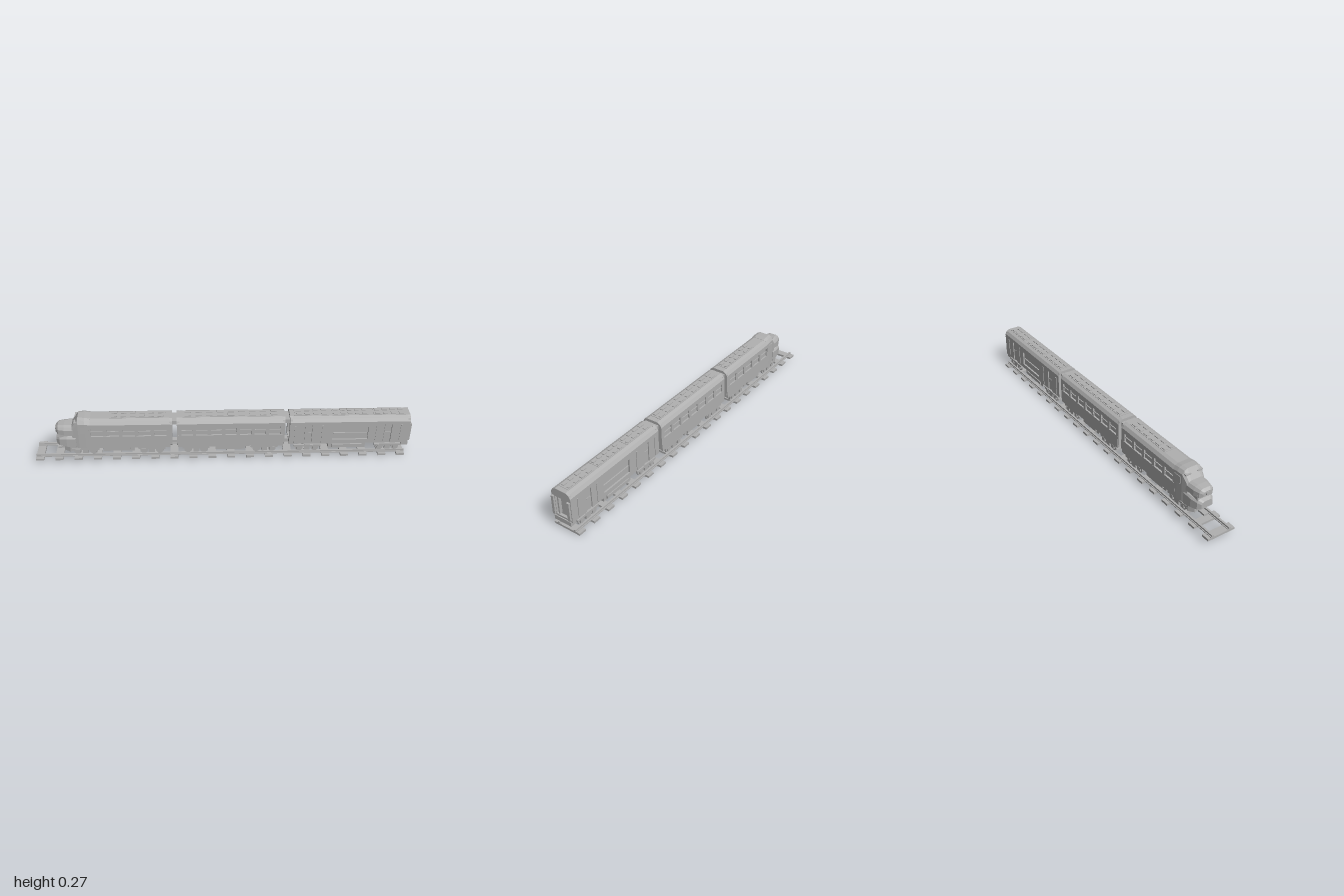
import * as THREE from 'three';

const grey = new THREE.MeshStandardMaterial({ color: 0xb0b0b0, flatShading: true });
grey.name = 'plain grey';

function add(parent, name, geo, x = 0, y = 0, z = 0) {
  const m = new THREE.Mesh(geo, grey);
  m.name = name;
  m.position.set(x, y, z);
  parent.add(m);
  return m;
}

// box given by its limits
function span(parent, name, x0, x1, y0, y1, z0, z1) {
  return add(parent, name, new THREE.BoxGeometry(x1 - x0, y1 - y0, z1 - z0),
    (x0 + x1) / 2, (y0 + y1) / 2, (z0 + z1) / 2);
}

// the same box on both sides of the train
function pair(parent, name, x0, x1, y0, y1, z0, z1) {
  span(parent, name, x0, x1, y0, y1, z0, z1);
  span(parent, name, x0, x1, y0, y1, -z1, -z0);
}

// skin through sections [x, half width, bottom, top, corner], ordered by x
function loft(sections) {
  const pos = [], idx = [], n = 8;
  for (const [x, w, y0, y1, c] of sections) {
    const half = [[w, y0], [w, y1 - c], [w - c * 0.45, y1 - c * 0.3], [w - c * 1.1, y1]];
    for (const [z, y] of half) pos.push(x, y, z);
    for (const [z, y] of half.reverse()) pos.push(x, y, -z);
  }
  for (let i = 0; i < sections.length - 1; i++) {
    for (let j = 0; j < n; j++) {
      const a = i * n + j, b = i * n + (j + 1) % n;
      idx.push(a, a + n, b, b, a + n, b + n);
    }
  }
  const e = (sections.length - 1) * n;
  for (let k = 1; k < n - 1; k++) idx.push(0, k, k + 1, e, e + k + 1, e + k);
  const g = new THREE.BufferGeometry();
  g.setAttribute('position', new THREE.Float32BufferAttribute(pos, 3));
  g.setIndex(idx);
  const flat = g.toNonIndexed();
  flat.computeVertexNormals();
  return flat;
}

// end wall with a doorway
function endFrame(parent, x, depth) {
  const s = new THREE.Shape([[-0.053, 0.088], [0.053, 0.088], [0.058, 0.1], [0.058, 0.222], [0.05, 0.24],
    [0.032, 0.25], [-0.032, 0.25], [-0.05, 0.24], [-0.058, 0.222], [-0.058, 0.1]]
    .map(p => new THREE.Vector2(...p)));
  s.holes.push(new THREE.Path([[-0.038, 0.1], [-0.038, 0.2], [-0.03, 0.208], [0.03, 0.208], [0.038, 0.2], [0.038, 0.1]]
    .map(p => new THREE.Vector2(...p))));
  const m = add(parent, 'endFrame', new THREE.ExtrudeGeometry(s, { depth, bevelEnabled: false }), x);
  m.rotation.y = Math.PI / 2;
}

// four wheels, axles and side frames
function bogie(parent, x) {
  const g = new THREE.Group();
  g.name = 'bogie';
  g.position.x = x;
  parent.add(g);
  for (const dx of [-0.042, 0.042]) {
    for (const z of [-0.044, 0.044]) {
      add(g, 'wheel', new THREE.CylinderGeometry(0.021, 0.021, 0.01, 14), dx, 0.057, z).rotation.x = Math.PI / 2;
      span(g, 'axleBox', dx - 0.012, dx + 0.012, 0.05, 0.072, z > 0 ? 0.049 : -0.057, z > 0 ? 0.057 : -0.049);
    }
    add(g, 'axle', new THREE.CylinderGeometry(0.005, 0.005, 0.09, 8), dx, 0.057, 0).rotation.x = Math.PI / 2;
  }
  pair(g, 'sideFrame', -0.072, 0.072, 0.066, 0.078, 0.046, 0.056);
  pair(g, 'springPack', -0.015, 0.015, 0.046, 0.08, 0.046, 0.056);
  span(g, 'bolster', -0.025, 0.025, 0.06, 0.09, -0.046, 0.046);
}

function underTank(parent, x0, x1) {
  span(parent, 'underTank', x0, x1, 0.05, 0.09, -0.045, 0.045);
  pair(parent, 'tankStep', x0 + 0.02, x1 - 0.02, 0.058, 0.076, 0.045, 0.053);
}

function roofVents(parent, x0, x1, count) {
  const step = (x1 - x0) / count;
  span(parent, 'roofWalk', x0, x1, 0.248, 0.252, -0.03, 0.03);
  for (let i = 0; i < count; i++) {
    const x = x0 + step * (i + 0.5);
    pair(parent, 'roofVent', x - step * 0.3, x + step * 0.3, 0.25, 0.256, 0.008, 0.024);
  }
}

// body with a recessed window band above solid side panels
function bandedBody(parent, x0, x1, bays) {
  span(parent, 'innerBody', x0 + 0.014, x1 - 0.014, 0.082, 0.225, -0.05, 0.05);
  add(parent, 'roof', loft([[x0, 0.058, 0.202, 0.25, 0.025], [x1, 0.058, 0.202, 0.25, 0.025]]));
  pair(parent, 'sidePanel', x0, x1, 0.08, 0.153, 0.046, 0.059);
  pair(parent, 'windowRail', x0 + 0.01, x1 - 0.01, 0.177, 0.182, 0.046, 0.055);
  const step = (x1 - x0 - 0.02) / bays;
  for (let i = 0; i <= bays; i++) {
    const x = x0 + 0.01 + i * step;
    pair(parent, 'windowPost', x - 0.009, x + 0.009, 0.15, 0.205, 0.046, 0.058);
  }
}

function locomotive() {
  const g = new THREE.Group();
  g.name = 'locomotive';
  bandedBody(g, -0.72, -0.285, 5);
  endFrame(g, -0.289, 0.014);
  // cab with a raked windscreen
  add(g, 'cab', loft([[-0.8, 0.05, 0.08, 0.207, 0.02], [-0.765, 0.056, 0.08, 0.257, 0.026],
    [-0.73, 0.058, 0.08, 0.256, 0.025], [-0.7, 0.058, 0.08, 0.251, 0.025]]));
  // bulldog nose in two tiers over a pilot
  add(g, 'upperNose', loft([[-0.885, 0.026, 0.168, 0.194, 0.012], [-0.872, 0.04, 0.16, 0.205, 0.018],
    [-0.84, 0.048, 0.158, 0.209, 0.022], [-0.79, 0.052, 0.158, 0.209, 0.02]]));
  span(g, 'noseCore', -0.865, -0.78, 0.1, 0.17, -0.042, 0.042);
  add(g, 'lowerNose', loft([[-0.885, 0.032, 0.1, 0.138, 0.014], [-0.868, 0.046, 0.094, 0.147, 0.016],
    [-0.83, 0.054, 0.088, 0.15, 0.016], [-0.78, 0.056, 0.08, 0.15, 0.012]]));
  add(g, 'pilot', loft([[-0.845, 0.038, 0.058, 0.098, 0.01], [-0.815, 0.054, 0.054, 0.1, 0.01],
    [-0.78, 0.054, 0.07, 0.1, 0.01]]));
  span(g, 'frontCoupler', -0.885, -0.82, 0.05, 0.06, -0.012, 0.012);
  add(g, 'headlamp', new THREE.CylinderGeometry(0.011, 0.011, 0.012, 12), -0.884, 0.18, 0).rotation.z = Math.PI / 2;
  pair(g, 'cabWindowFrame', -0.755, -0.71, 0.175, 0.215, 0.056, 0.06);
  pair(g, 'windscreenBrow', -0.785, -0.755, 0.232, 0.238, 0.02, 0.05);
  roofVents(g, -0.6, -0.31, 6);
  bogie(g, -0.735);
  underTank(g, -0.64, -0.48);
  bogie(g, -0.385);
  return g;
}

function middleCar() {
  const g = new THREE.Group();
  g.name = 'middleCar';
  bandedBody(g, -0.245, 0.315, 7);
  endFrame(g, -0.25, 0.014);
  endFrame(g, 0.306, 0.014);
  roofVents(g, -0.22, 0.29, 9);
  bogie(g, -0.15);
  underTank(g, -0.045, 0.11);
  bogie(g, 0.215);
  return g;
}

function rearCar() {
  const g = new THREE.Group();
  g.name = 'rearCar';
  const x0 = 0.345, x1 = 0.985;
  span(g, 'innerBody', x0 + 0.014, x1 - 0.02, 0.088, 0.225, -0.049, 0.049);
  add(g, 'roof', loft([[x0, 0.058, 0.205, 0.25, 0.025], [x1, 0.058, 0.205, 0.25, 0.025]]));
  endFrame(g, x0, 0.014);
  endFrame(g, x1 - 0.014, 0.014);
  // side walls either side of a wide central recess
  for (const [a, b] of [[x0, 0.425], [0.465, 0.575], [0.765, 0.85], [0.89, x1]]) {
    pair(g, 'sideWall', a, b, 0.088, 0.21, 0.045, 0.058);
  }
  for (const x of [0.445, 0.87]) {
    pair(g, 'door', x - 0.018, x + 0.018, 0.09, 0.205, 0.045, 0.054);
    pair(g, 'doorWindowSill', x - 0.014, x + 0.014, 0.155, 0.16, 0.05, 0.057);
  }
  for (const x of [0.375, 0.52, 0.81, 0.94]) {
    pair(g, 'sideRib', x - 0.004, x + 0.004, 0.095, 0.205, 0.057, 0.061);
  }
  pair(g, 'lowerSill', 0.57, 0.77, 0.088, 0.112, 0.045, 0.058);
  pair(g, 'recessRail', 0.58, 0.76, 0.148, 0.154, 0.045, 0.055);
  pair(g, 'recessHeader', 0.57, 0.77, 0.192, 0.21, 0.045, 0.058);
  // rear end pillars beside the door
  pair(g, 'endPillar', x1 - 0.004, x1 + 0.01, 0.1, 0.205, 0.04, 0.054);
  pair(g, 'doorJamb', x1 - 0.02, x1 - 0.004, 0.1, 0.2, 0.022, 0.03);
  span(g, 'endBeam', x1 - 0.03, x1 + 0.005, 0.066, 0.09, -0.05, 0.05);
  roofVents(g, 0.37, 0.55, 4);
  roofVents(g, 0.57, 0.76, 5);
  roofVents(g, 0.79, 0.96, 4);
  bogie(g, 0.445);
  underTank(g, 0.56, 0.76);
  bogie(g, 0.88);
  return g;
}

function track() {
  const g = new THREE.Group();
  g.name = 'track';
  for (let i = 0; i < 20; i++) {
    const x = -0.978 + i * 0.1016;
    span(g, 'sleeper', x - 0.021, x + 0.021, 0.0145, 0.026, -0.078, 0.078);
  }
  pair(g, 'railFoot', -0.999, 0.975, 0.025, 0.029, 0.04, 0.06);
  pair(g, 'railHead', -0.999, 0.975, 0.029, 0.037, 0.045, 0.055);
  return g;
}

export function createModel() {
  const model = new THREE.Group();
  model.name = 'trainOnTrack';
  const sloped = new THREE.Group();
  sloped.name = 'slopedTrain';
  sloped.rotation.z = -0.0147;
  model.add(sloped);
  const train = new THREE.Group();
  train.name = 'train';
  train.position.z = 0.003;
  train.add(locomotive(), middleCar(), rearCar());
  // links between the cars
  for (const x of [-0.2625, 0.3325]) {
    span(train, 'upperLink', x - 0.02, x + 0.02, 0.212, 0.235, -0.04, 0.04);
    span(train, 'coupler', x - 0.03, x + 0.03, 0.075, 0.092, -0.015, 0.015);
  }
  sloped.add(train, track());
  return model;
}
